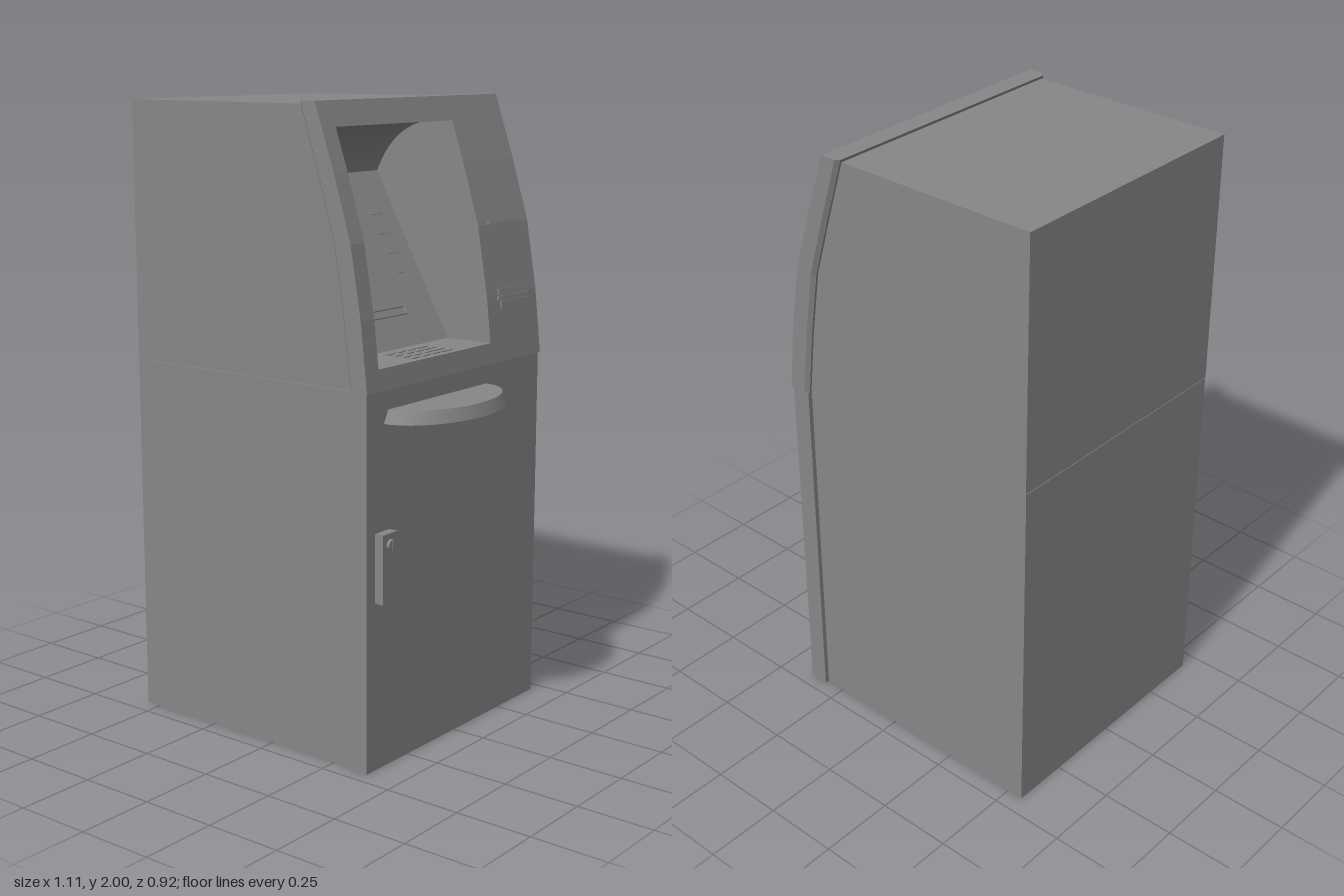
import * as THREE from 'three';

const mat = new THREE.MeshStandardMaterial({ color: 0x878787, side: THREE.DoubleSide });

// side outline of the curved fascia: [y, inner x, outer x]
const CURVE = [[1.17, 0.32, 0.39], [1.38, 0.295, 0.367], [1.6, 0.26, 0.33], [1.8, 0.199, 0.269], [2.0, 0.135, 0.2]];
function curveX(y, col) {
  let i = 0;
  while (i < CURVE.length - 2 && y > CURVE[i + 1][0]) i++;
  const a = CURVE[i], b = CURVE[i + 1];
  return a[col] + (b[col] - a[col]) * (y - a[0]) / (b[0] - a[0]);
}
// points along the curve from y0 up to y1
function edge(y0, y1, col) {
  const ys = [y0, ...CURVE.map(c => c[0]).filter(y => y > y0 && y < y1), y1];
  return ys.map(y => [curveX(y, col), y]);
}

export function createModel() {
  const root = new THREE.Group();
  root.name = 'cashMachine';

  const add = (parent, name, geo, x = 0, y = 0, z = 0, tilt = 0) => {
    const m = new THREE.Mesh(geo, mat);
    m.name = name;
    m.position.set(x, y, z);
    m.rotation.z = tilt;
    parent.add(m);
    return m;
  };
  const group = name => {
    const g = new THREE.Group();
    g.name = name;
    root.add(g);
    return g;
  };
  // a side outline extruded from z0 to z1
  const slab = (parent, name, pts, z0, z1) => {
    const shape = new THREE.Shape(pts.map(p => new THREE.Vector2(p[0], p[1])));
    const geo = new THREE.ExtrudeGeometry(shape, { depth: z1 - z0, bevelEnabled: false });
    return add(parent, name, geo, 0, 0, z0);
  };
  const box = (parent, name, size, pos, tilt = 0) =>
    add(parent, name, new THREE.BoxGeometry(...size), ...pos, tilt);

  // recess limits
  const zR = -0.18, zL = 0.397, floorY = 1.235, topY = 1.925;
  const panelLow = [0.217, floorY], panelHigh = [-0.07, 1.757];

  // cabinet: lower safe, then an upper case of two solid sides and a middle with the recess cut in
  const cabinet = group('cabinet');
  const back = -0.555, bodyTop = 1.99, seam = 1.17;
  box(cabinet, 'safe', [0.875, seam - 0.002, 0.88], [-0.1175, (seam - 0.002) / 2, 0]);
  const solid = [[back, seam], ...edge(seam, bodyTop, 1), [back, bodyTop]];
  slab(cabinet, 'caseRight', solid, -0.441, zR);
  slab(cabinet, 'caseLeft', solid, zL, 0.441);
  const ceiling = new THREE.QuadraticBezierCurve(
    new THREE.Vector2(...panelHigh), new THREE.Vector2(0, 1.915), new THREE.Vector2(curveX(topY, 1), topY)
  ).getPoints(14).map(p => [p.x, p.y]);
  slab(cabinet, 'caseMiddle', [
    [back, seam], ...edge(seam, floorY, 1), panelLow,
    ...ceiling, [curveX(bodyTop, 1), bodyTop], [back, bodyTop],
  ], zR, zL);

  // curved fascia framing the recess
  const fascia = group('fascia');
  const band = (name, y0, y1, z0, z1) =>
    slab(fascia, name, [...edge(y0, y1, 2), ...edge(y0, y1, 1).reverse()], z0, z1);
  band('fasciaRight', seam, 2, -0.448, zR);
  band('fasciaLeft', seam, 2, zL, 0.448);
  band('fasciaTop', topY, 2, zR, zL);
  band('fasciaSill', seam, floorY, zR, zL);

  // chamfered outer ends of the fascia: rear edge drawn forward on the outside
  for (const s of [-1, 1]) {
    const end = s > 0 ? band('fasciaEndLeft', seam, 2, 0.448, 0.46) : band('fasciaEndRight', seam, 2, -0.46, -0.448);
    const p = end.geometry.attributes.position;
    for (let i = 0; i < p.count; i++) {
      const outside = s > 0 ? p.getZ(i) > 0.006 : p.getZ(i) < 0.006;
      if (outside && p.getX(i) < curveX(p.getY(i), 1) + 0.01) p.setX(i, p.getX(i) + 0.012);
    }
    end.geometry.computeVertexNormals();
  }

  // lower door
  box(root, 'door', [0.065, seam, 0.91], [0.3525, seam / 2, 0]);

  // sloping panel: side keys and note slot
  const panel = group('panel');
  const slope = (panelHigh[0] - panelLow[0]) / (panelHigh[1] - panelLow[1]);
  const tilt = Math.atan(-slope);
  const onPanel = (name, w, h, t, y, z) =>
    box(panel, name, [t, h, w], [panelLow[0] + (y - floorY) * slope, y, z], tilt);
  const zMid = 0.108;
  for (const s of [-1, 1])
    for (let i = 0; i < 4; i++)
      onPanel('sideKey', 0.055, 0.022, 0.006, 1.635 - i * 0.06, zMid + s * 0.19);
  onPanel('noteSlotTop', 0.27, 0.006, 0.02, 1.35, zMid);
  onPanel('noteSlotBottom', 0.27, 0.006, 0.02, 1.328, zMid);
  for (const s of [-1, 1]) onPanel('noteSlotEnd', 0.006, 0.028, 0.02, 1.339, zMid + s * 0.132);

  // keypad on the recess floor
  const keypad = group('keypad');
  for (let r = 0; r < 4; r++)
    for (let c = 0; c < 4; c++)
      box(keypad, 'key', [0.022, 0.006, c === 3 ? 0.055 : 0.036],
        [0.255 + r * 0.031, floorY, 0.18 - c * 0.053]);

  // receipt slot and card reader on the right of the fascia
  const onFascia = (name, w, h, t, y, z) => {
    const d = (curveX(y + 0.02, 2) - curveX(y - 0.02, 2)) / 0.04;
    return box(root, name, [t, h, w], [curveX(y, 2), y, z], Math.atan(-d));
  };
  onFascia('receiptSlot', 0.18, 0.006, 0.016, 1.605, -0.32);
  onFascia('cardReaderTop', 0.155, 0.018, 0.01, 1.39, -0.32);
  onFascia('cardReaderBottom', 0.14, 0.026, 0.01, 1.347, -0.32);
  onFascia('cardReaderMouth', 0.17, 0.012, 0.014, 1.37, -0.32);

  // half-oval shelf, wider at its underside
  const shelf = new THREE.CylinderGeometry(0.255, 0.275, 0.04, 40, 1, false, 0, Math.PI);
  shelf.scale(0.17 / 0.275, 1, 1);
  add(root, 'shelf', shelf, 0.385, 1.09, 0.098);
  box(root, 'shelfCatch', [0.05, 0.008, 0.1], [0.41, 1.068, 0.1]);

  // door lock plate and knob
  box(root, 'lockPlate', [0.03, 0.215, 0.07], [0.4, 0.638, 0.38]);
  const knob = new THREE.CylinderGeometry(0.018, 0.018, 0.012, 12);
  knob.rotateZ(Math.PI / 2);
  add(root, 'lockKnob', knob, 0.419, 0.71, 0.38);
  box(root, 'lockKnobGrip', [0.006, 0.03, 0.008], [0.424, 0.71, 0.38]);

  return root;
}
